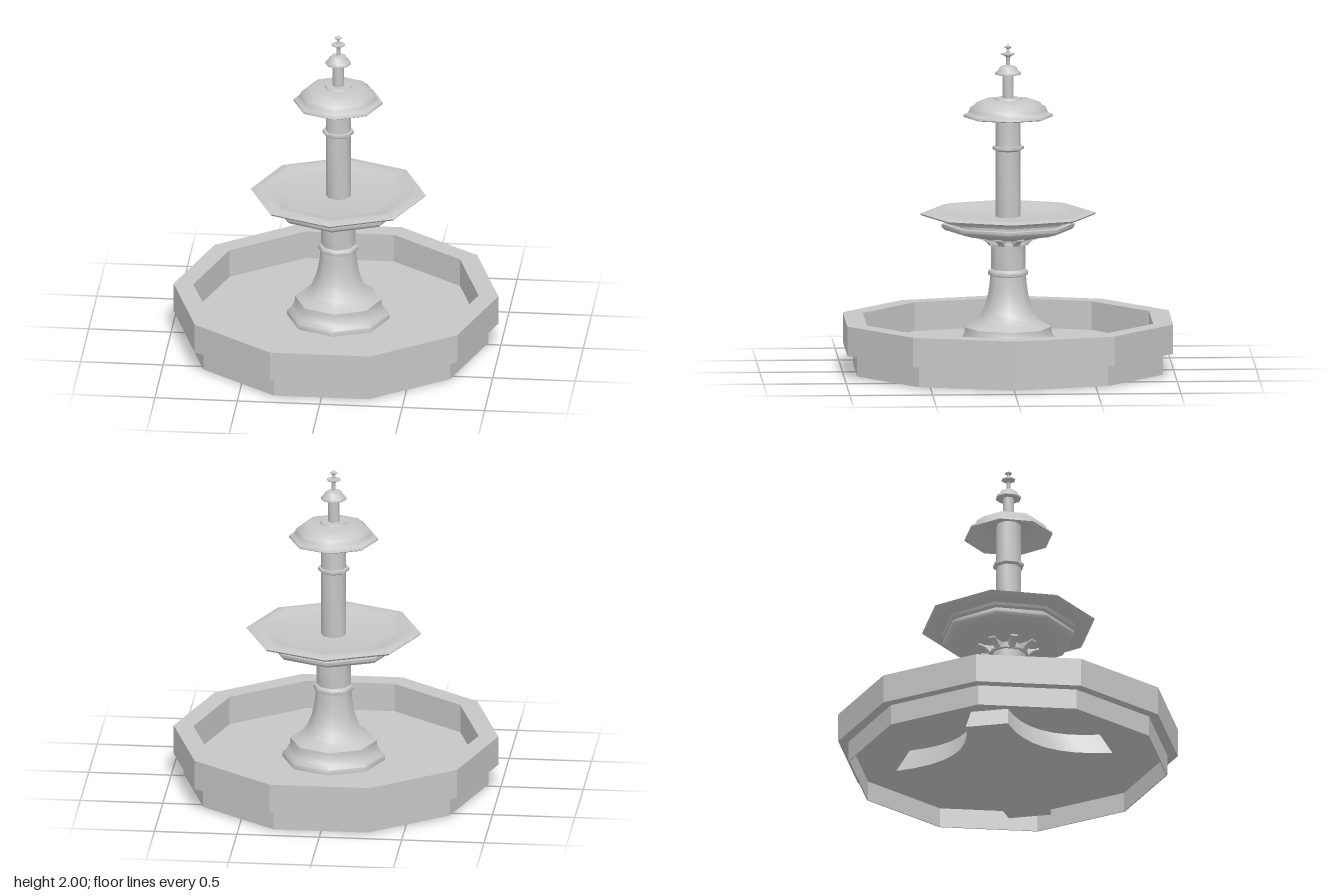
import * as THREE from 'three';
import { toCreasedNormals } from 'three/addons/utils/BufferGeometryUtils.js';

export function createModel() {
  const group = new THREE.Group();
  const stone = new THREE.MeshStandardMaterial({ color: 0xc6c6c6 });
  stone.name = 'grey stone';
  const axis = 0.014; // the column stands slightly off the basin centre

  function add(name, geometry, x = 0) {
    const mesh = new THREE.Mesh(geometry, stone);
    mesh.name = name;
    mesh.position.x = x;
    group.add(mesh);
  }

  // Profiles run from the bottom axis outward and up, as [radius, height]
  function turned(name, profile) {
    const points = profile.map(([r, y]) => new THREE.Vector2(r, y));
    add(name, toCreasedNormals(new THREE.LatheGeometry(points, 8), 0.9), axis);
  }

  // Ten-sided basin with a stepped wall and a recessed underside
  const basinProfile = [
    [0, 0.135], [0.918, 0.135], [0.918, 0.012], [0.925, 0.012], [0.925, 0.14],
    [0.985, 0.14], [0.985, 0.32], [0.865, 0.32], [0.865, 0.145], [0, 0.145],
  ].map(([r, y]) => new THREE.Vector2(r, y));
  const basin = new THREE.LatheGeometry(basinProfile, 10);
  basin.rotateY(Math.PI / 2);
  basin.scale(1, 1, 1.051);
  add('basin', toCreasedNormals(basin, 0.3));

  // Four-lobed plinth under the basin, narrowing upward
  const outline = new THREE.Shape();
  const tip = 0.665, half = 0.13, bite = 0.17, plinthHeight = 0.135;
  outline.moveTo(tip, half);
  for (let i = 0; i < 4; i++) {
    const c = Math.round(Math.cos(i * Math.PI / 2)), s = Math.round(Math.sin(i * Math.PI / 2));
    const at = (x, y) => [x * c - y * s, x * s + y * c];
    outline.quadraticCurveTo(...at(bite, bite), ...at(half, tip));
    outline.lineTo(...at(-half, tip));
  }
  const plinth = new THREE.ExtrudeGeometry(outline, { depth: plinthHeight, bevelEnabled: false, curveSegments: 8 });
  plinth.rotateX(-Math.PI / 2);
  const spots = plinth.attributes.position;
  for (let i = 0; i < spots.count; i++) {
    const k = 1 - 0.12 * spots.getY(i) / plinthHeight;
    spots.setXYZ(i, spots.getX(i) * k, spots.getY(i), spots.getZ(i) * k);
  }
  add('plinth', toCreasedNormals(plinth, 0.6), axis);

  // Foot and flared pedestal
  turned('pedestal', [
    [0.31, 0.14], [0.31, 0.175], [0.285, 0.2], [0.265, 0.235], [0.262, 0.27],
    [0.24, 0.283], [0.22, 0.295], [0.188, 0.32], [0.16, 0.36], [0.138, 0.41],
    [0.122, 0.47], [0.113, 0.53], [0.108, 0.585], [0.12, 0.59], [0.122, 0.605],
    [0.116, 0.62], [0.104, 0.625], [0.104, 0.77], [0.122, 0.772], [0.122, 0.785],
    [0.1, 0.79], [0.1, 0.84],
  ]);

  // Brackets carrying the main bowl
  const side = new THREE.Shape();
  side.moveTo(0.09, 0.77);
  side.lineTo(0.12, 0.775);
  side.quadraticCurveTo(0.14, 0.805, 0.185, 0.815);
  side.lineTo(0.185, 0.835);
  side.lineTo(0.09, 0.835);
  for (let i = 0; i < 8; i++) {
    const bracket = new THREE.ExtrudeGeometry(side, { depth: 0.04, bevelEnabled: false, curveSegments: 4 });
    bracket.translate(0, 0, -0.02);
    bracket.rotateY((i + 0.5) * Math.PI / 4);
    add('bracket', bracket, axis);
  }

  // Main bowl with undercut moulding and a shallow dished top
  turned('mainBowl', [
    [0, 0.815], [0.17, 0.815], [0.19, 0.823], [0.25, 0.835], [0.32, 0.847],
    [0.385, 0.865], [0.402, 0.882], [0.402, 0.9], [0.375, 0.903], [0.375, 0.918],
    [0.405, 0.922], [0.415, 0.938], [0.455, 0.942], [0.52, 0.952], [0.532, 0.964],
    [0.5, 0.972], [0.46, 0.981], [0.42, 0.962], [0.34, 0.947], [0, 0.943],
  ]);

  // Upper column with a collar
  turned('upperColumn', [
    [0.076, 0.94], [0.076, 1.345], [0.086, 1.352], [0.095, 1.356], [0.095, 1.372],
    [0.078, 1.374], [0.076, 1.39], [0.076, 1.64],
  ]);

  // Domed upper bowl, hollow below
  turned('upperBowl', [
    [0.07, 1.63], [0.14, 1.625], [0.195, 1.602], [0.22, 1.572], [0.262, 1.55],
    [0.272, 1.556], [0.268, 1.568], [0.245, 1.576], [0.236, 1.593], [0.226, 1.615],
    [0.205, 1.627], [0.192, 1.642], [0.16, 1.654], [0.085, 1.658], [0.08, 1.668],
    [0, 1.668],
  ]);

  // Finial stem, cap, small dish and tip
  turned('finialStem', [[0.034, 1.66], [0.034, 1.815]]);
  turned('finialCap', [
    [0, 1.81], [0.078, 1.81], [0.078, 1.822], [0.06, 1.836], [0.052, 1.854],
    [0.036, 1.864], [0.012, 1.868], [0.012, 1.915], [0.02, 1.923], [0.042, 1.932],
    [0.042, 1.939], [0.012, 1.941], [0.008, 1.965], [0.022, 1.977], [0.022, 1.981],
    [0.008, 1.984], [0, 2],
  ]);

  return group;
}
